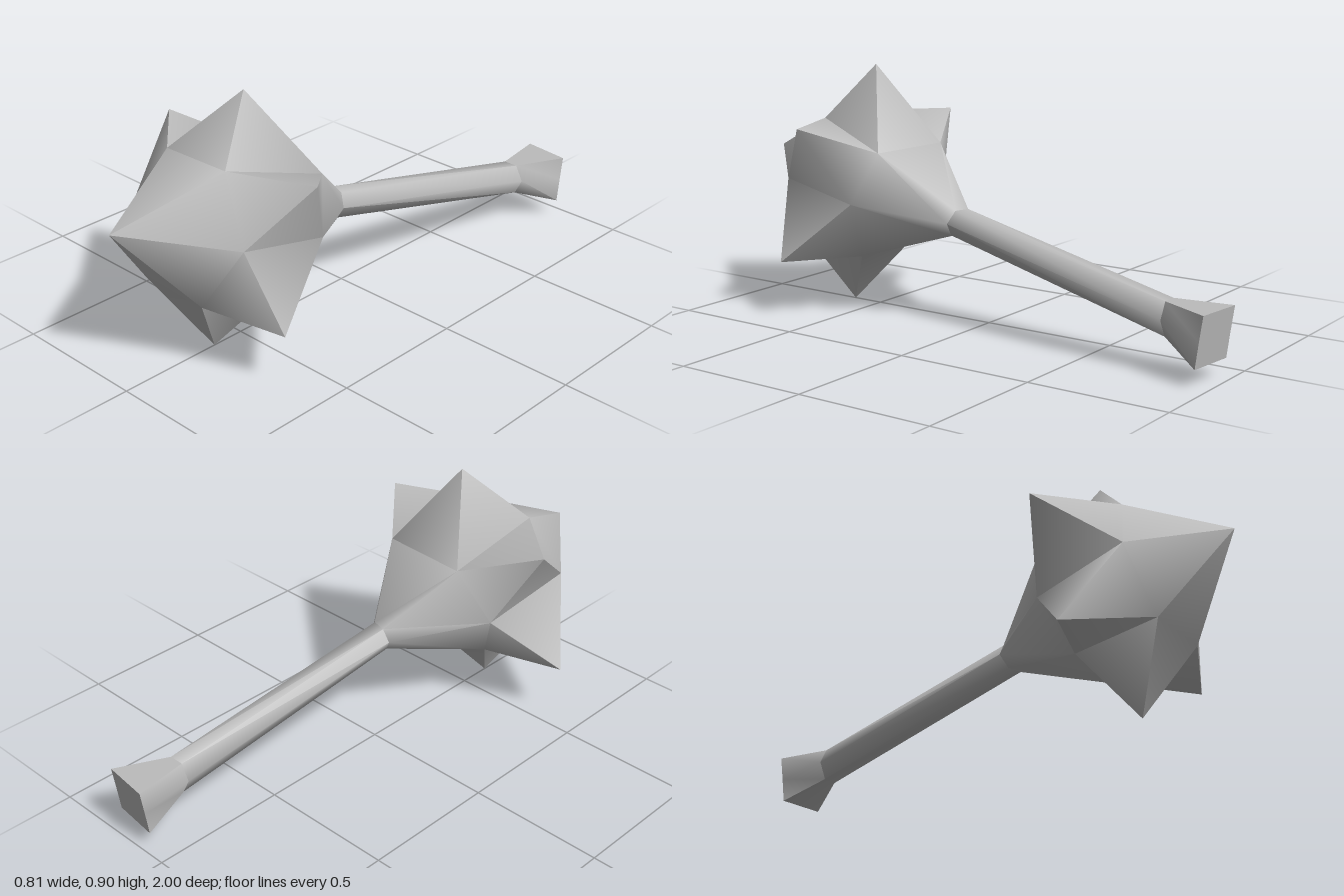
import * as THREE from 'three';
import { toCreasedNormals } from 'three/addons/utils/BufferGeometryUtils.js';

const steel = new THREE.MeshStandardMaterial({ color: 0xbcbcbc });
steel.name = 'grey steel';

// Builds a mesh from a list of triangles, each made of three points
function meshFrom(name, tris) {
  let geo = new THREE.BufferGeometry();
  geo.setAttribute('position', new THREE.Float32BufferAttribute(tris.flat(2), 3));
  geo = toCreasedNormals(geo, Math.PI / 3);
  const mesh = new THREE.Mesh(geo, steel);
  mesh.name = name;
  return mesh;
}

// Joins two six-point rings, the first one nearer the front
function loft(tris, a, b) {
  for (let i = 0; i < 6; i++) {
    const j = (i + 1) % 6;
    tris.push([a[j], a[i], b[i]], [a[j], b[i], b[j]]);
  }
}

// Rings run counter-clockwise seen from the front, starting at +x
const frontRing = [
  [0.26, 0.49, 0.71], [0.12, 0.7, 0.65], [-0.145, 0.7, 0.66],
  [-0.26, 0.49, 0.72], [-0.145, 0.26, 0.77], [0.12, 0.26, 0.77],
];
const backRing = [
  [0.29, 0.43, 0.39], [0.22, 0.61, 0.32], [-0.115, 0.61, 0.3],
  [-0.22, 0.41, 0.37], [-0.13, 0.22, 0.455], [0.15, 0.21, 0.46],
];
const tips = [
  [0.405, 0.7, 0.53], [0.03, 0.9, 0.48], [-0.38, 0.7, 0.45],
  [-0.405, 0.205, 0.56], [0, 0, 0.62], [0.375, 0.205, 0.65],
];
const frontTip = [-0.03, 0.555, 1];

// Small hexagon where the head meets the handle
const neckRing = Array.from({ length: 6 }, (_, i) => {
  const c = Math.cos(i * Math.PI / 3), s = Math.sin(i * Math.PI / 3);
  return [0.055 + 0.055 * c, 0.365 + 0.052 * s, 0.088 + 0.015 * c - 0.011 * s];
});

export function createModel() {
  const group = new THREE.Group();
  group.name = 'spikedMace';

  // Head: front point, six side spikes, and a taper to the neck
  const head = [];
  for (let i = 0; i < 6; i++) {
    const j = (i + 1) % 6;
    const t = tips[i];
    head.push(
      [frontTip, frontRing[i], frontRing[j]],
      [frontRing[i], t, frontRing[j]],
      [t, frontRing[i], backRing[i]],
      [frontRing[j], t, backRing[j]],
      [t, backRing[i], backRing[j]],
    );
  }
  loft(head, backRing, neckRing);
  group.add(meshFrom('spikedHead', head));

  // Handle: straight hexagonal shaft
  const shoulder = [
    [0.2, 0.178, -0.8], [0.17, 0.235, -0.8], [0.115, 0.235, -0.8],
    [0.085, 0.178, -0.8], [0.115, 0.12, -0.8], [0.17, 0.12, -0.8],
  ];
  const handle = [];
  loft(handle, neckRing, shoulder);
  group.add(meshFrom('handle', handle));

  // Pommel: flares to a square end with a flat cap
  const end = [
    [0.26, 0.148, -0.967], [0.26, 0.235, -0.98], [0.085, 0.235, -1],
    [0.085, 0.148, -0.987], [0.085, 0.06, -0.975], [0.26, 0.06, -0.955],
  ];
  const centre = [0.1725, 0.148, -0.978];
  const pommel = [];
  loft(pommel, shoulder, end);
  end.forEach((p, i) => pommel.push([end[(i + 1) % 6], p, centre]));
  group.add(meshFrom('pommel', pommel));

  return group;
}
